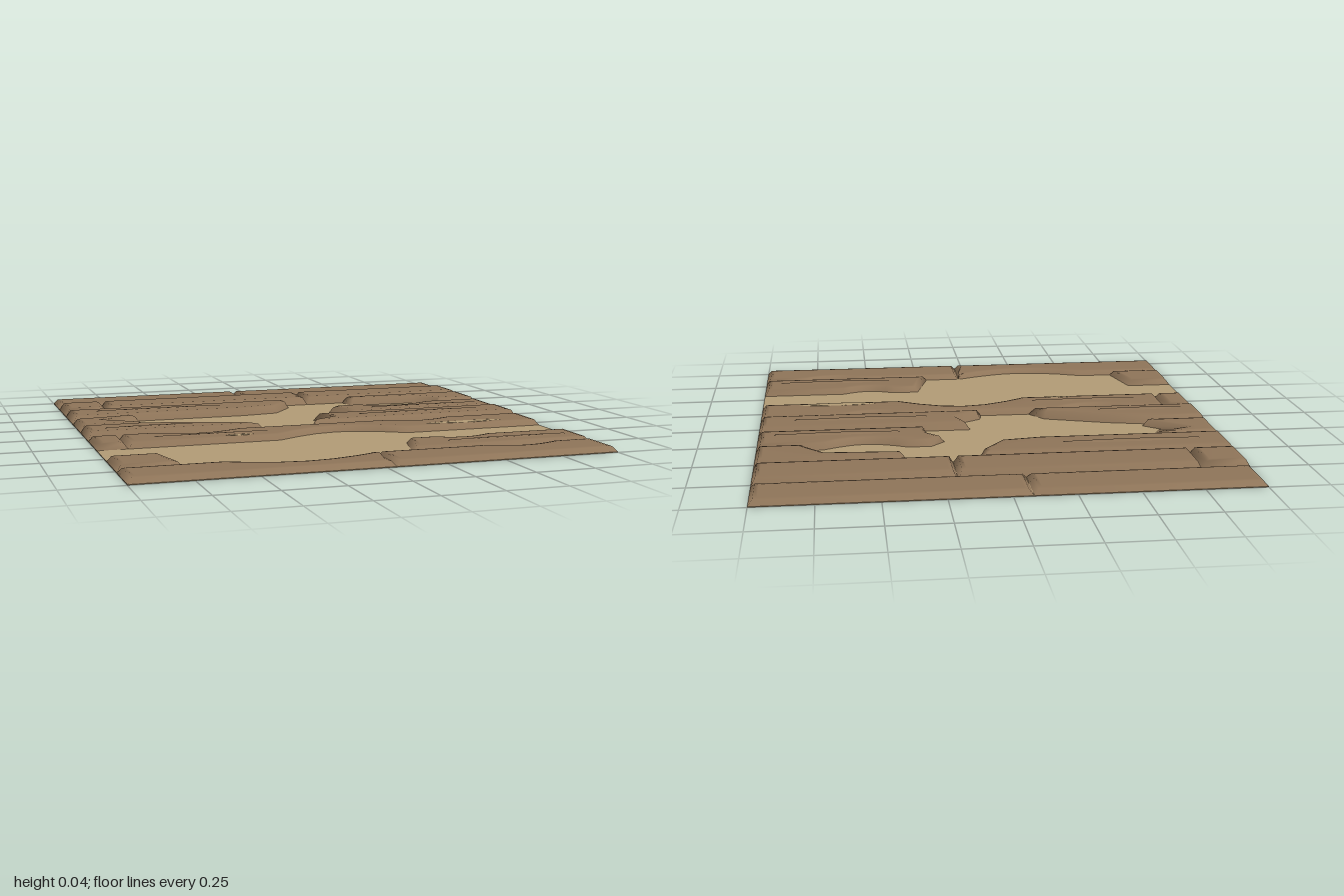
import * as THREE from 'three';

const wood = new THREE.MeshStandardMaterial({ color: 0x8f7559 });
wood.name = 'weathered wood';
const sand = new THREE.MeshStandardMaterial({ color: 0xb39c76 });
sand.name = 'sand';

// Moves every corner of a counter-clockwise outline inward by d.
function inset(pts, d) {
  const n = pts.length;
  const normal = (a, b) => {
    const v = b.clone().sub(a).normalize();
    return new THREE.Vector2(-v.y, v.x);
  };
  return pts.map((p, i) => {
    const n1 = normal(pts[(i + n - 1) % n], p);
    const n2 = normal(p, pts[(i + 1) % n]);
    const k = d / Math.max(0.5, 1 + n1.dot(n2));
    return p.clone().add(n1.add(n2).multiplyScalar(k));
  });
}

// Slab with a softly bevelled rim; the outline is a list of [x, z].
// Each ring is [inset, height].
function bevelledSlab(outline, rings) {
  const base = outline.map(([x, z]) => new THREE.Vector2(x, -z));
  if (THREE.ShapeUtils.isClockWise(base)) base.reverse();
  const n = base.length;
  const position = [];
  const index = [];
  let top = base;
  rings.forEach(([d, y], r) => {
    top = inset(base, d);
    top.forEach((p) => position.push(p.x, y, -p.y));
    if (r === 0) return;
    for (let i = 0; i < n; i++) {
      const j = (i + 1) % n;
      const a = (r - 1) * n;
      const b = r * n;
      index.push(a + i, a + j, b + j, a + i, b + j, b + i);
    }
  });
  const last = (rings.length - 1) * n;
  THREE.ShapeUtils.triangulateShape(top, []).forEach((t) => index.push(...t.map((k) => k + last)));
  const geometry = new THREE.BufferGeometry();
  geometry.setAttribute('position', new THREE.Float32BufferAttribute(position, 3));
  geometry.setIndex(index);
  geometry.computeVertexNormals();
  return geometry;
}

// Pointed oval used for grain ridges and sand drifts
function lens(x, z, w, d) {
  const pts = [];
  for (let i = 0; i < 12; i++) {
    const a = (i / 12) * Math.PI * 2;
    pts.push([x + Math.cos(a) * w / 2, z + Math.sin(a) * Math.abs(Math.sin(a)) ** 0.4 * d / 2]);
  }
  return pts;
}

// Broken plank ends on both sides of the upper hole, from back to front
const holeLeft = [[0.06, -0.56], [0.07, -0.49], [-0.03, -0.36], [-0.2, -0.335], [-0.71, -0.335], [-0.7, -0.31],
  [-0.84, -0.255], [-0.7, -0.14], [-0.72, -0.11], [-0.55, -0.07], [-0.28, 0.02], [-0.22, 0.105]];
const holeRight = [[0.37, -0.56], [0.39, -0.47], [0.71, -0.45], [0.79, -0.36], [0.79, -0.335], [0.26, -0.335],
  [0.2, -0.275], [0.26, -0.21], [0.27, -0.11], [0.07, -0.11], [0.11, -0.01], [0.01, 0.05], [0, 0.105]];
// Slanted ends beside the lower hole
const gapLeft = [[-0.79, 0.555], [-0.74, 0.78]];
const gapRight = [[0.26, 0.555], [0.2, 0.78]];

// Plank rows from back to front. Each piece is [left end, right end], an end
// being an x or a broken line. Bites in the long edges are [x, width, depth].
const rows = [
  { name: 'backPlank', z0: -1, z1: -0.78, h: 0.026, pieces: [[-1, -0.08], [-0.08, 1]] },
  { name: 'secondPlank', z0: -0.78, z1: -0.56, h: 0.04, pieces: [[-1, -0.8], [-0.8, 0.19], [0.19, 1]] },
  { name: 'thirdPlank', z0: -0.56, z1: -0.335, h: 0.039, pieces: [[-1, holeLeft], [holeRight, 1]] },
  { name: 'fourthPlank', z0: -0.335, z1: -0.11, h: 0.034, pieces: [[-1, holeLeft], [holeRight, 1]],
    backBites: [[0.54, 0.36, 0.06]] },
  { name: 'fifthPlank', z0: -0.11, z1: 0.105, h: 0.04, pieces: [[-1, holeLeft], [holeRight, 1]] },
  { name: 'sixthPlank', z0: 0.105, z1: 0.33, h: 0.03, pieces: [[-1, -0.87], [-0.87, 1]],
    backBites: [[-0.53, 0.36, 0.058], [0.49, 0.28, 0.045]], frontBites: [[0.07, 0.58, 0.115]] },
  { name: 'seventhPlank', z0: 0.555, z1: 0.78, h: 0.03, pieces: [[-1, gapLeft], [gapRight, 1]],
    backBites: [[0.5, 0.24, 0.04]] },
  { name: 'frontPlank', z0: 0.78, z1: 1, h: 0.026, pieces: [[-1, 0.04], [0.04, 1]],
    backBites: [[-0.28, 0.62, 0.085], [0.67, 0.3, 0.045]] },
];

// Part of an end that lies within one row
function plankEnd(end, z0, z1) {
  if (typeof end === 'number') return [[end, z0], [end, z1]];
  const first = end.findLastIndex((p) => p[1] <= z0);
  const last = end.findIndex((p) => p[1] >= z1);
  return end.slice(first, last + 1);
}

// Worn hollows along a long edge, from left to right
function edgeBites(bites, z, side, xMin, xMax) {
  return bites.filter(([x]) => x > xMin && x < xMax).flatMap(([x, w, d]) =>
    Array.from({ length: 7 }, (_, k) => [x + w * (k / 6 - 0.5), z + side * d * Math.sin(Math.PI * k / 6)]));
}

function plankOutline([leftEnd, rightEnd], { z0, z1, backBites = [], frontBites = [] }) {
  const left = plankEnd(leftEnd, z0, z1);
  const right = plankEnd(rightEnd, z0, z1);
  return [
    ...left,
    ...edgeBites(frontBites, z1, -1, left.at(-1)[0], right.at(-1)[0]),
    ...right.reverse(),
    ...edgeBites(backBites, z0, 1, left[0][0], right.at(-1)[0]).reverse(),
  ];
}

// Raised grain: x, z, width, depth, height of the plank below
const ridges = [
  [-0.58, -0.45, 0.6, 0.05, 0.039],
  [0.66, -0.2, 0.55, 0.05, 0.034],
  [-0.72, 0.02, 0.4, 0.05, 0.04],
  [0.55, 0, 0.6, 0.05, 0.04],
  [-0.5, 0.24, 0.5, 0.04, 0.03],
  [0.66, 0.69, 0.55, 0.05, 0.03],
];

export function createModel() {
  const model = new THREE.Group();
  const add = (name, geometry, material) => {
    const mesh = new THREE.Mesh(geometry, material);
    mesh.name = name;
    model.add(mesh);
    return mesh;
  };

  // Sand bed under the whole floor
  add('sandBed', new THREE.BoxGeometry(2, 0.003, 2), sand).position.y = 0.0015;

  // Planks
  rows.forEach((row) => row.pieces.forEach((piece) => {
    const rings = [[0, 0.002], [0.018, row.h * 0.9], [0.035, row.h]];
    add(row.name, bevelledSlab(plankOutline(piece, row), rings), wood);
  }));

  // Grain on the planks
  ridges.forEach(([x, z, w, d, h]) => {
    add('grainRidge', bevelledSlab(lens(x, z, w, d), [[0, h - 0.001], [0.012, h + 0.003]]), wood);
  });

  // Sand lying on the sixth plank
  [[-0.39, 0.292, 0.12, 0.022], [0.65, 0.28, 0.36, 0.045]].forEach((drift) => {
    add('sandDrift', bevelledSlab(lens(...drift), [[0, 0.026], [0, 0.031]]), sand);
  });
  return model;
}
